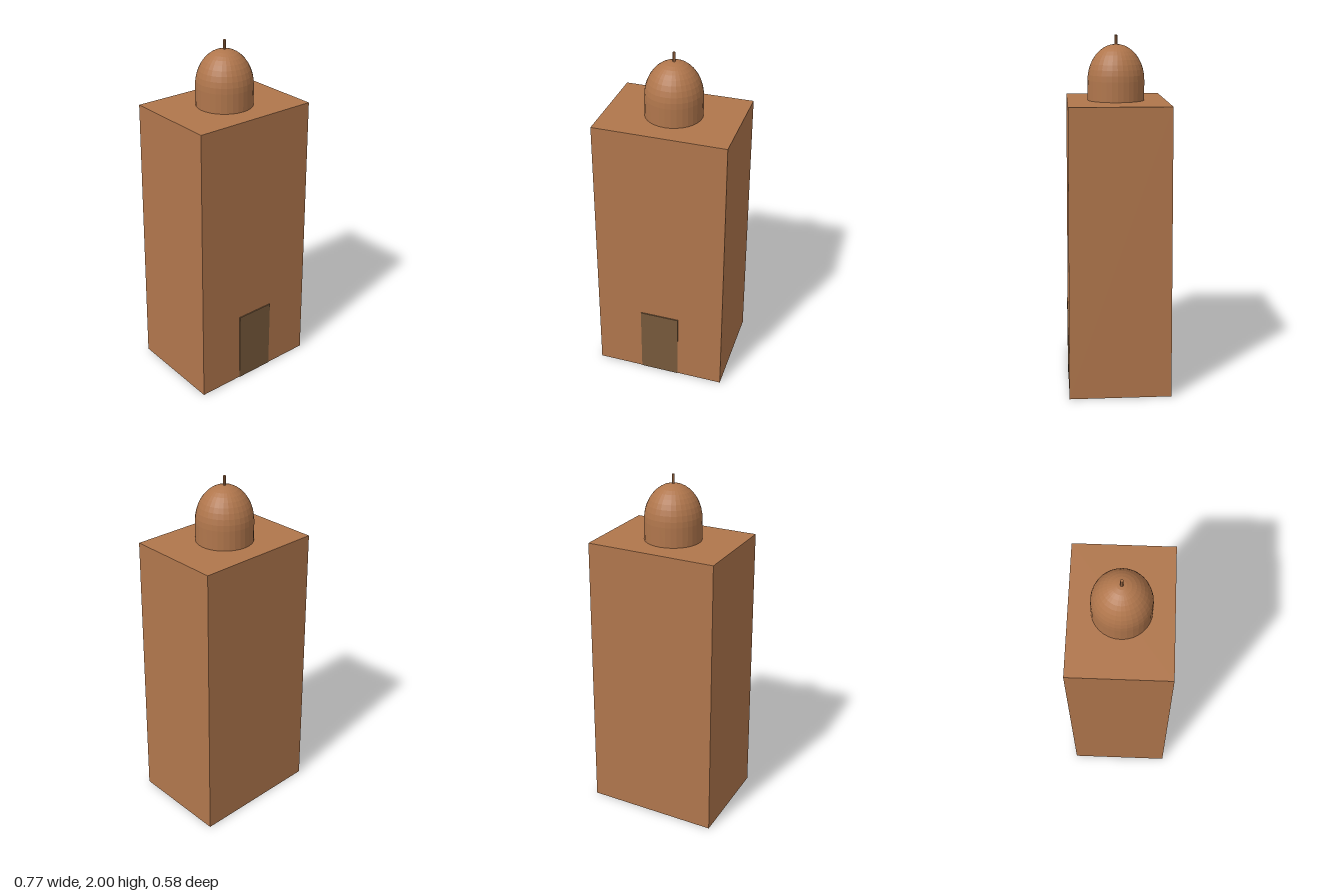
import * as THREE from 'three';

export function createModel() {
  const model = new THREE.Group();
  model.name = 'domedTower';

  const clay = new THREE.MeshStandardMaterial({ color: 0xb0764c, flatShading: true });
  clay.name = 'clay';
  const wood = new THREE.MeshStandardMaterial({ color: 0x785a3c, flatShading: true });
  wood.name = 'door wood';

  const add = (name, geometry, material, x, y, z) => {
    const mesh = new THREE.Mesh(geometry, material);
    mesh.name = name;
    mesh.position.set(x, y, z);
    model.add(mesh);
    return mesh;
  };

  // Tower body, tapering slightly towards the flat roof
  const height = 1.64;
  const bodyZ = -0.0015;
  const body = new THREE.BoxGeometry(0.77, height, 0.577);
  const p = body.attributes.position;
  for (let i = 0; i < p.count; i++) {
    if (p.getY(i) > 0) {
      p.setX(i, p.getX(i) * 0.97);
      p.setZ(i, p.getZ(i) * 0.962);
    }
  }
  body.computeVertexNormals();
  add('body', body, clay, 0, height / 2, bodyZ);

  // Thin door plate on the front
  add('door', new THREE.BoxGeometry(0.23, 0.43, 0.006), wood, 0, 0.215, 0.287);

  // Drum and raised dome in one profile
  const radius = 0.16, spring = 1.75, rise = 0.2, rings = 10;
  const profile = [new THREE.Vector2(radius, height)];
  for (let i = 0; i <= rings; i++) {
    const a = (i / rings) * Math.PI / 2;
    profile.push(new THREE.Vector2(i === rings ? 0 : radius * Math.cos(a), spring + rise * Math.sin(a)));
  }
  add('dome', new THREE.LatheGeometry(profile, 32), clay, 0, 0, 0);

  // Finial
  add('finial', new THREE.CylinderGeometry(0.008, 0.008, 0.08, 8), clay, 0, 1.96, 0);

  return model;
}
